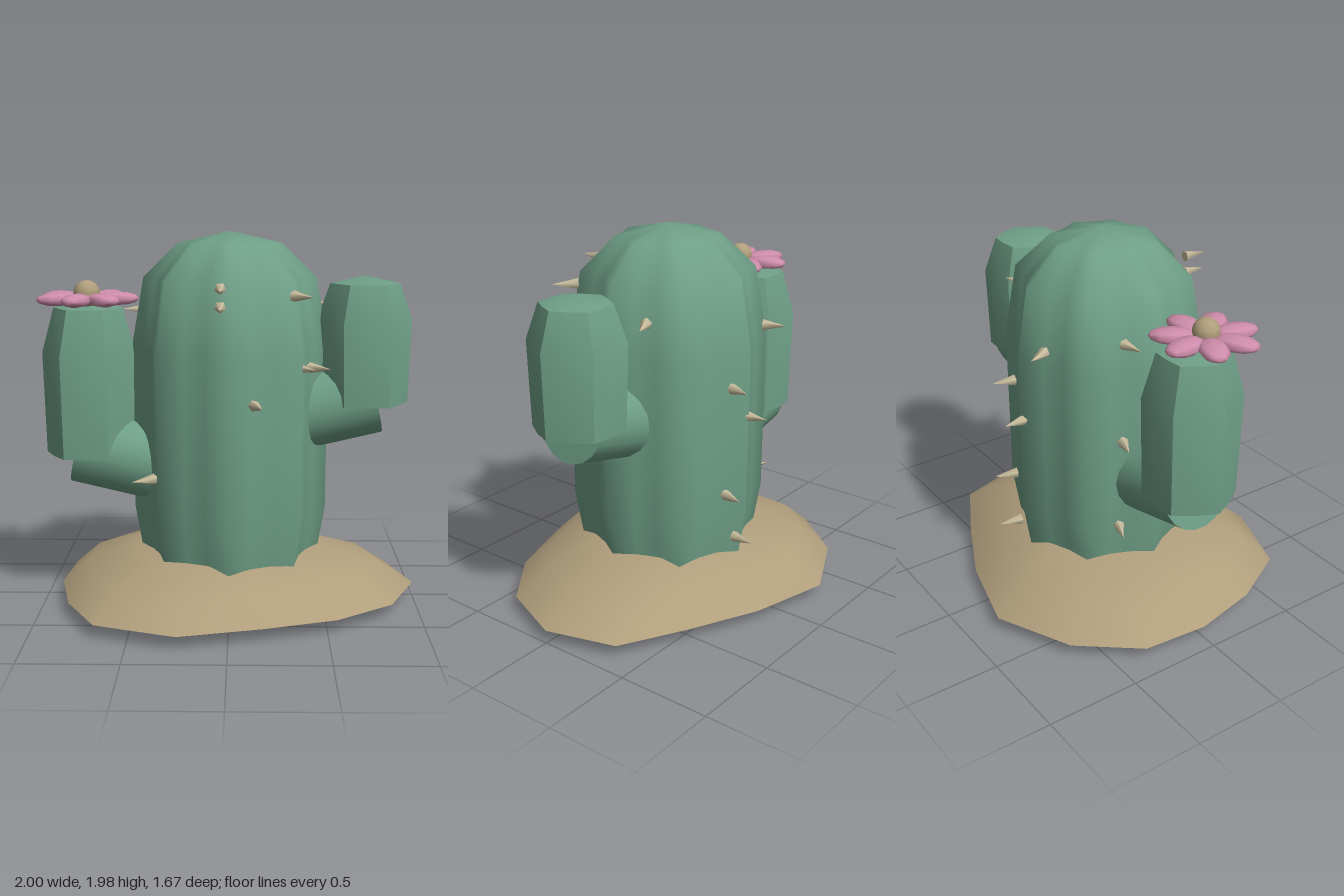
import * as THREE from 'three';
import { toCreasedNormals } from 'three/addons/utils/BufferGeometryUtils.js';

const material = (name, color) => {
  const m = new THREE.MeshStandardMaterial({ color });
  m.name = name;
  return m;
};

// Lathe whose radius swells into vertical ribs
function fluted(profile, ribs, amount, segments, crease) {
  const geo = new THREE.LatheGeometry(profile.map(([r, y]) => new THREE.Vector2(r, y)), segments);
  const p = geo.attributes.position;
  for (let i = 0; i < p.count; i++) {
    const k = 1 + amount * Math.cos(ribs * Math.atan2(p.getZ(i), p.getX(i)));
    p.setX(i, p.getX(i) * k);
    p.setZ(i, p.getZ(i) * k);
  }
  return toCreasedNormals(geo, crease);
}

// Irregular mound: one outline scaled through several heights
function moundGeometry() {
  const outline = [[-0.25, -0.84], [0.18, -0.73], [0.54, -0.56], [0.89, -0.37], [1, 0], [0.85, 0.36],
    [0.55, 0.59], [0.17, 0.72], [-0.25, 0.83], [-0.67, 0.68], [-0.84, 0.36], [-0.92, 0], [-0.89, -0.35], [-0.65, -0.65]];
  const rings = [[0, 0, 0], [0.78, 0, -0.04], [1, 0.07, 0], [0.82, 0.2, -0.02], [0.52, 0.29, -0.02], [0, 0.3, 0]]; // scale, y, shift
  const n = outline.length, pos = [], index = [];
  for (const [s, y, dx] of rings) for (const [x, z] of outline) pos.push(x * s + dx, y, z * s);
  for (let k = 0; k < rings.length - 1; k++) {
    for (let i = 0; i < n; i++) {
      const a = k * n + i, b = k * n + (i + 1) % n;
      if (k > 0) index.push(a, a + n, b);
      if (k < rings.length - 2) index.push(b, a + n, b + n);
    }
  }
  // the first fan closes the underside, the last one the top
  const geo = new THREE.BufferGeometry();
  geo.setAttribute('position', new THREE.Float32BufferAttribute(pos, 3));
  geo.setIndex(index);
  return toCreasedNormals(geo, 0.8);
}

export function createModel() {
  const group = new THREE.Group();
  const green = material('cactus green', 0x6f9f87);
  const sand = material('sand', 0xb09e7c);
  const pink = material('petal pink', 0xcf8dab);
  const cream = material('spine cream', 0xcbbf9f);

  const add = (name, geo, mat, parent = group) => {
    const mesh = new THREE.Mesh(geo, mat);
    mesh.name = name;
    parent.add(mesh);
    return mesh;
  };
  // Cylinder or cone between two points
  const between = (name, a, b, r0, r1, sides, mat) => {
    const from = new THREE.Vector3(...a), to = new THREE.Vector3(...b);
    const dir = to.clone().sub(from);
    const mesh = add(name, new THREE.CylinderGeometry(r1, r0, dir.length(), sides), mat);
    mesh.position.copy(from).add(to).multiplyScalar(0.5);
    mesh.quaternion.setFromUnitVectors(new THREE.Vector3(0, 1, 0), dir.normalize());
    return mesh;
  };

  add('sandMound', moundGeometry(), sand);

  // Trunk with eight ribs
  add('trunk', fluted([[0, 0.15], [0.42, 0.15], [0.475, 0.5], [0.48, 1.37], [0.42, 1.74], [0.25, 1.92], [0, 1.98]],
    8, 0.085, 24, 1.35), green);

  // Arms: a tilted elbow carrying an upright ribbed lobe
  const arm = (name, side, x, endX, endY, bottom, bulge, rim, apex) => {
    const startX = 0.3;
    between(name + 'Elbow', [side * startX, endY - (endX - startX) * 0.235, 0], [side * endX, endY, 0], 0.2, 0.2, 18, green);
    const lobe = add(name + 'Lobe', fluted([[0, bottom], [0.225, bottom], [0.238, bulge], [0.175, rim], [0, apex]],
      6, 0.05, 12, 0.8), green);
    lobe.position.x = side * x;
  };
  arm('leftArm', 1, 0.71, 0.764, 1.114, 1.08, 1.52, 1.71, 1.75);
  arm('rightArm', -1, 0.75, 0.809, 0.839, 0.8, 1.34, 1.58, 1.61);

  // Flower with seven petals
  const flower = new THREE.Group();
  flower.name = 'flower';
  flower.position.set(-0.745, 1.635, 0.07);
  group.add(flower);
  const petalGeo = new THREE.SphereGeometry(1, 8, 6).rotateZ(Math.PI / 2).scale(0.118, 0.036, 0.075);
  for (let i = 0; i < 7; i++) {
    const a = (i / 7) * Math.PI * 2;
    const petal = add('petal', petalGeo, pink, flower);
    petal.position.set(Math.cos(a) * 0.155, 0, -Math.sin(a) * 0.155);
    petal.rotation.y = a;
  }
  add('flowerCentre', new THREE.SphereGeometry(0.07, 10, 8), sand, flower).position.y = 0.025;

  // Spines: height, base x, base z, tip x, tip z
  const spines = [
    [1.72, -0.04, 0.5, -0.045, 0.63], [1.63, -0.04, 0.5, -0.045, 0.63], [1.14, 0.125, 0.47, 0.165, 0.59],
    [1.67, 0.32, 0.34, 0.42, 0.43], [1.305, 0.34, 0.32, 0.44, 0.41], [1.295, 0.41, 0.23, 0.52, 0.3],
    [0.735, -0.38, 0.35, -0.49, 0.42], [1.58, 0.43, -0.2, 0.55, -0.255],
    [1.555, -0.46, -0.2, -0.58, -0.18], [1.02, -0.46, -0.2, -0.57, -0.24], [0.53, -0.46, -0.22, -0.57, -0.27],
    [1.48, -0.18, -0.47, -0.23, -0.58], [1.215, 0.1, -0.48, 0.13, -0.595], [1.04, -0.01, -0.5, -0.02, -0.62],
    [0.64, 0.13, -0.47, 0.165, -0.59], [0.385, 0.07, -0.49, 0.09, -0.61],
  ];
  for (const [y, bx, bz, tx, tz] of spines) {
    between('spine', [bx, y, bz], [tx, y, tz], 0.03, 0, 5, cream);
  }
  return group;
}
